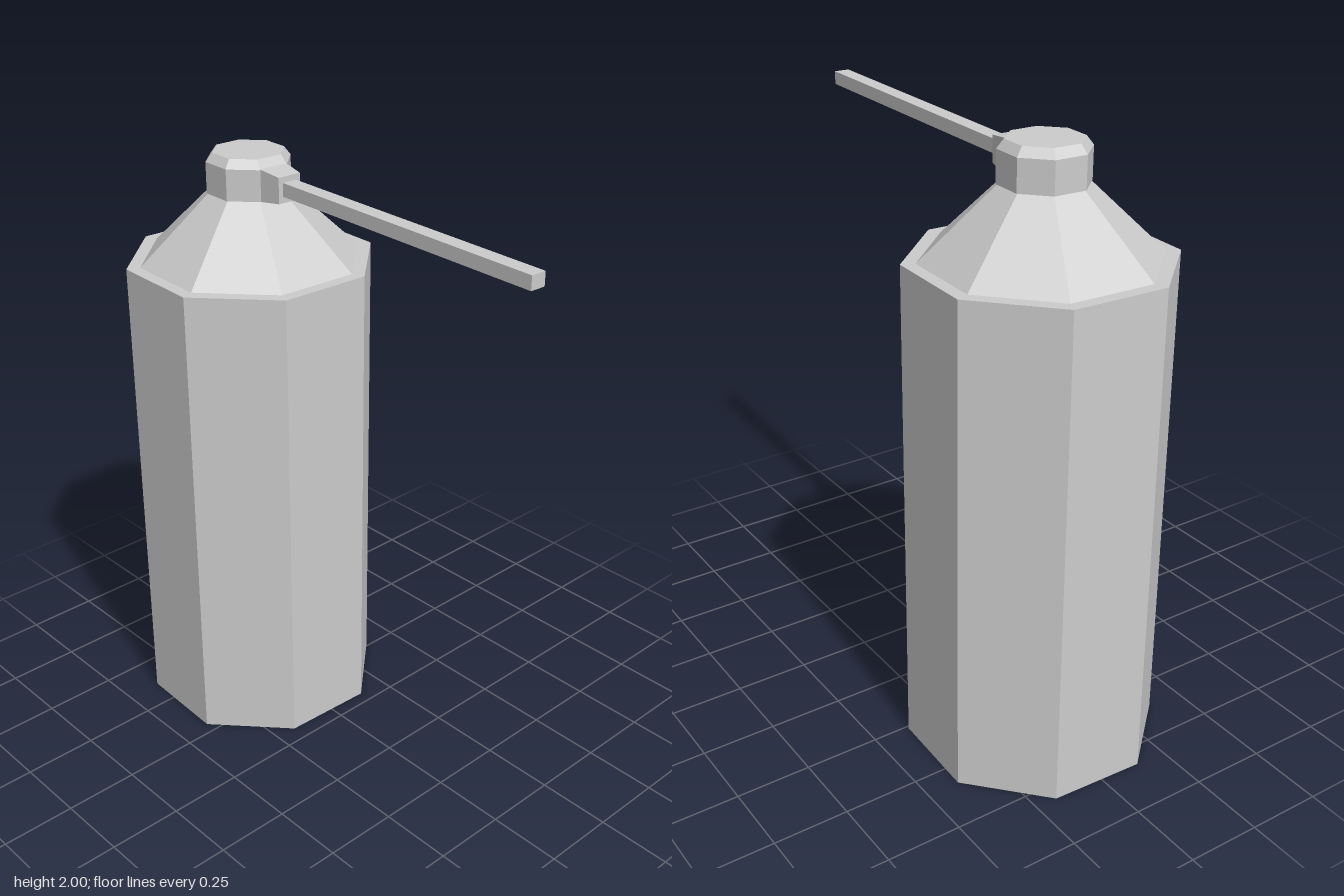
import * as THREE from 'three';

export function createModel() {
  const model = new THREE.Group();
  model.name = 'sprayCan';
  const metal = new THREE.MeshStandardMaterial({ color: 0xcccccc, flatShading: true });
  metal.name = 'light grey';

  // Everything turns slightly about the can's axis
  const can = new THREE.Group();
  can.name = 'can';
  can.position.z = -0.435;
  can.rotation.y = THREE.MathUtils.degToRad(-2.4);
  model.add(can);

  const add = (name, geometry, y = 0, z = 0) => {
    const mesh = new THREE.Mesh(geometry, metal);
    mesh.name = name;
    mesh.position.set(0, y, z);
    can.add(mesh);
  };

  // Eight-sided solid from [radius, height] pairs, with a flat side facing front
  const octagonal = (profile) => new THREE.LatheGeometry(
    profile.map(([r, y]) => new THREE.Vector2(r, y)), 8, Math.PI / 8);

  // Body with a recessed base and a flat top rim
  add('body', octagonal([[0, 0.08], [0.37, 0.08], [0.37, 0], [0.415, 0], [0.415, 1.645], [0.37, 1.645]]));
  add('shoulder', octagonal([[0.37, 1.645], [0.135, 1.87]]));
  // Cap with a bevelled top edge
  add('cap', octagonal([[0.13, 1.87], [0.14, 1.87], [0.14, 1.972], [0.118, 2], [0, 2]]));

  // Square socket tapering forward from the cap
  const socket = new THREE.CylinderGeometry(0.042 * Math.SQRT2, 0.052 * Math.SQRT2, 0.08, 4);
  socket.rotateY(Math.PI / 4).rotateX(Math.PI / 2);
  add('nozzleSocket', socket, 1.922, 0.168);

  // Long straight nozzle
  add('nozzleTube', new THREE.BoxGeometry(0.052, 0.044, 1.05), 1.923, 0.726);

  return model;
}
